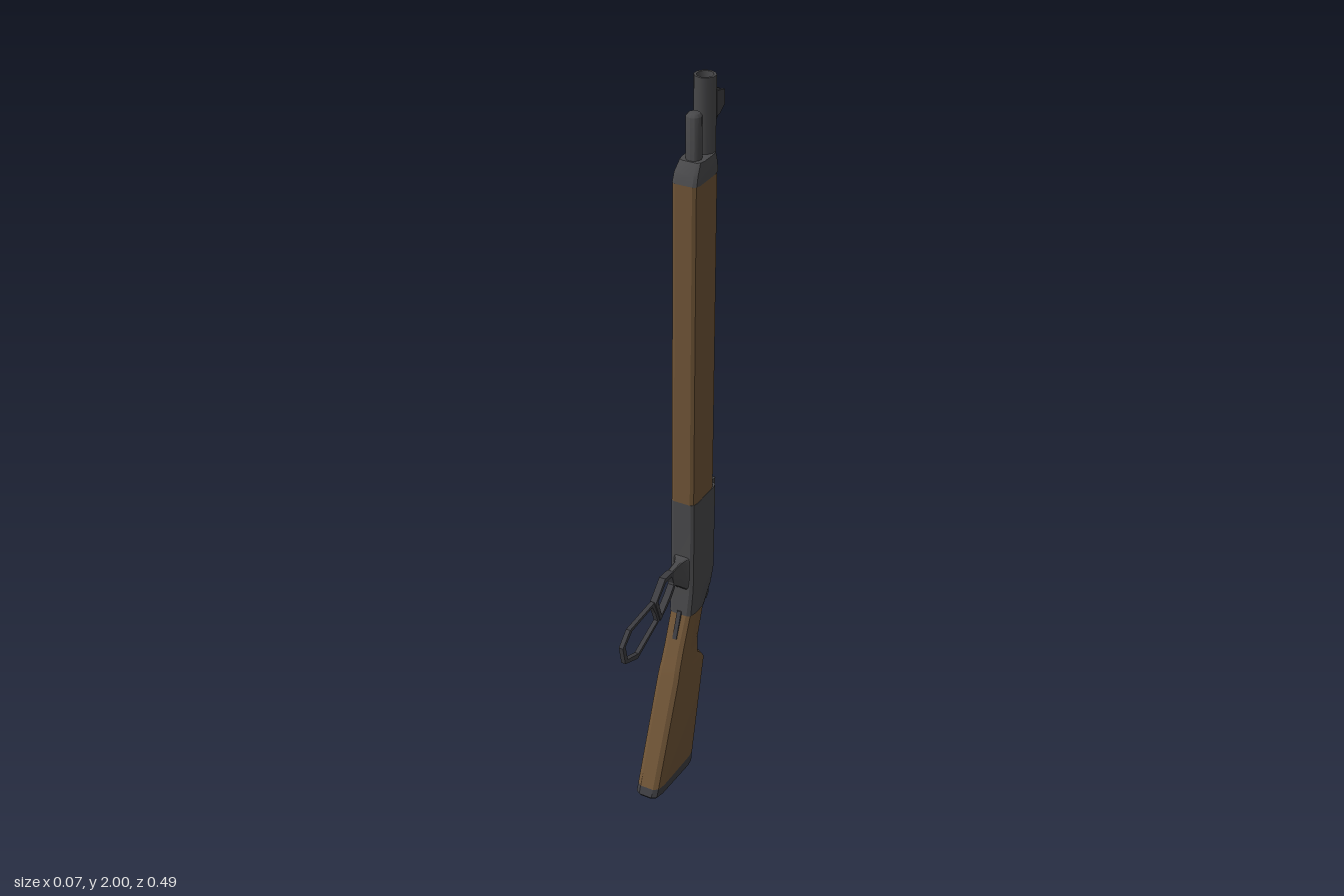
import * as THREE from 'three';
import { toCreasedNormals } from 'three/addons/utils/BufferGeometryUtils.js';

const mat = (name, color) => Object.assign(new THREE.MeshStandardMaterial({ color }), { name });

// Solid through cross-sections [zFront, yFront, zBack, yBack, halfWidth, cornerX, cornerZ], lowest first
function loft(sections) {
  const pos = [], index = [], n = 12;
  for (const [zf, yf, zb, yb, w, cx, cz] of sections) {
    const k = 0.27;
    const side = [
      [w - cx, zf], [w - cx * k, zf - cz * k], [w, zf - cz],
      [w, zb + cz], [w - cx * k, zb + cz * k], [w - cx, zb],
    ];
    const ring = [...side, ...side.map(([x, z]) => [-x, z]).reverse()];
    for (const [x, z] of ring) pos.push(x, yf + (yb - yf) * (z - zf) / (zb - zf), z);
  }
  const top = (sections.length - 1) * n;
  for (let i = 0; i < top; i += n) {
    for (let j = 0; j < n; j++) {
      const a = i + j, b = i + (j + 1) % n;
      index.push(a, b, b + n, a, b + n, a + n);
    }
  }
  for (let j = 1; j < n - 1; j++) index.push(0, j + 1, j, top, top + j, top + j + 1);
  const g = new THREE.BufferGeometry();
  g.setAttribute('position', new THREE.Float32BufferAttribute(pos, 3));
  g.setIndex(index);
  return toCreasedNormals(g, 0.5);
}

// Flat side profile of [z, y] points, given a thickness across x
function plate(points, width, hole) {
  const toV = (p) => new THREE.Vector2(p[0], p[1]);
  const shape = new THREE.Shape(points.map(toV));
  if (hole) shape.holes.push(new THREE.Path(hole.map(toV)));
  const g = new THREE.ExtrudeGeometry(shape, { depth: width, bevelEnabled: false });
  return g.translate(0, 0, -width / 2).rotateY(-Math.PI / 2);
}

// Closed bar: the outline with a hole set in by the bar's thickness
function loop(points, width, bar) {
  const c = [0, 1].map((k) => points.reduce((s, p) => s + p[k], 0) / points.length);
  const inner = points.map(([z, y]) => {
    const dz = c[0] - z, dy = c[1] - y, d = Math.hypot(dz, dy);
    return [z + dz / d * bar, y + dy / d * bar];
  });
  return plate(points, width, inner);
}

export function createModel() {
  const model = new THREE.Group();
  const wood = mat('wood', 0x6f5436);
  const steel = mat('steel', 0x48484a);
  const darkSteel = mat('darkSteel', 0x3d3d41);
  const add = (name, geometry, material, x = 0) => {
    const m = new THREE.Mesh(geometry, material);
    m.name = name;
    m.position.x = x;
    model.add(m);
  };

  // Butt plate, stock and wrist
  add('buttPlate', loft([
    [0.122, 0.02, -0.084, 0.003, 0.03, 0.016, 0.03],
    [0.127, 0.028, -0.09, 0.012, 0.036, 0.017, 0.034],
    [0.118, 0.05, -0.095, 0.042, 0.036, 0.017, 0.034],
  ]), darkSteel);
  add('stock', loft([
    [0.118, 0.05, -0.095, 0.042, 0.036, 0.017, 0.034],
    [0.005, 0.345, -0.157, 0.335, 0.036, 0.016, 0.03],
    [-0.004, 0.37, -0.143, 0.355, 0.035, 0.016, 0.028],
    [-0.011, 0.385, -0.123, 0.37, 0.034, 0.016, 0.026],
    [-0.03, 0.43, -0.125, 0.425, 0.033, 0.016, 0.026],
    [-0.069, 0.525, -0.155, 0.52, 0.033, 0.014, 0.024],
  ]), wood);

  // Receiver with its tangs
  add('receiver', loft([
    [-0.066, 0.52, -0.154, 0.515, 0.035, 0.014, 0.022],
    [-0.074, 0.585, -0.188, 0.565, 0.036, 0.012, 0.02],
    [-0.078, 0.63, -0.202, 0.61, 0.036, 0.011, 0.018],
    [-0.078, 0.868, -0.205, 0.868, 0.036, 0.011, 0.018],
  ]), steel);
  add('upperTang', plate([
    [-0.18, 0.6], [-0.18, 0.54], [-0.2, 0.49], [-0.214, 0.505], [-0.208, 0.6],
  ], 0.022), steel);
  add('lowerTang', plate([
    [-0.09, 0.53], [-0.06, 0.455], [-0.037, 0.455], [-0.064, 0.53],
  ], 0.012), darkSteel);

  // Bolt cover and hammer
  add('boltCover', plate([
    [-0.19, 0.865], [-0.19, 0.69], [-0.224, 0.7], [-0.232, 0.72], [-0.235, 0.865],
  ], 0.03), steel);
  add('hammer', plate([
    [-0.19, 0.69], [-0.19, 0.61], [-0.212, 0.612], [-0.24, 0.607],
    [-0.246, 0.63], [-0.222, 0.65], [-0.21, 0.685],
  ], 0.018), darkSteel);

  // Lever: flared mount, trigger guard and hand loop
  add('leverMount', loft([
    [-0.59, -0.085, -0.705, -0.085, 0.03, 0.008, 0.01],
    [-0.602, -0.073, -0.698, -0.073, 0.018, 0.006, 0.01],
    [-0.618, -0.055, -0.695, -0.055, 0.011, 0.004, 0.008],
    [-0.648, -0.018, -0.692, -0.018, 0.009, 0.003, 0.006],
  ]).rotateX(Math.PI / 2), steel);
  add('triggerGuard', loop([
    [0.08, 0.648], [0.028, 0.697], [-0.016, 0.693], [-0.034, 0.65], [-0.005, 0.615], [0.053, 0.58],
  ], 0.018, 0.014), darkSteel);
  add('handLoop', loop([
    [0.246, 0.615], [0.208, 0.649], [0.08, 0.654], [0.062, 0.62],
    [0.05, 0.582], [0.17, 0.533], [0.234, 0.559],
  ], 0.012, 0.014), darkSteel);

  // Fore-end and its cap
  const foreSection = (y) => [-0.077, y, -0.193, y, 0.035, 0.012, 0.02];
  add('foreEnd', loft([foreSection(0.868), foreSection(1.76)]), wood);
  add('foreEndCap', loft([
    [-0.077, 1.76, -0.195, 1.76, 0.036, 0.012, 0.02],
    [-0.085, 1.785, -0.195, 1.785, 0.035, 0.012, 0.02],
    [-0.105, 1.81, -0.193, 1.81, 0.031, 0.012, 0.02],
  ]), steel);

  // Barrel with a bore, and magazine tube with a rounded end
  const lathe = (points, sides) => toCreasedNormals(
    new THREE.LatheGeometry(points.map((p) => new THREE.Vector2(...p)), sides), 0.75);
  add('barrel', lathe([
    [0.0275, 0.85], [0.0275, 2], [0.021, 2], [0.019, 1.96], [0, 1.955],
  ], 10).translate(0, 0, -0.182), steel);
  add('magazineTube', lathe([
    [0.02, 1.79], [0.02, 1.917], [0.014, 1.924], [0, 1.926],
  ], 12).translate(0, 0, -0.129), steel);

  // Front sight: base, blade and two guarding ears
  add('sightBase', plate([
    [-0.2, 1.965], [-0.2, 1.88], [-0.212, 1.885], [-0.222, 1.9], [-0.222, 1.955],
  ], 0.036), darkSteel);
  const blade = [[-0.205, 1.955], [-0.205, 1.89], [-0.222, 1.893], [-0.246, 1.908], [-0.246, 1.945]];
  add('sightBlade', plate(blade, 0.008), darkSteel);
  for (const s of [-1, 1]) add(s > 0 ? 'leftSightEar' : 'rightSightEar', plate(blade, 0.008), darkSteel, s * 0.016);

  return model;
}
